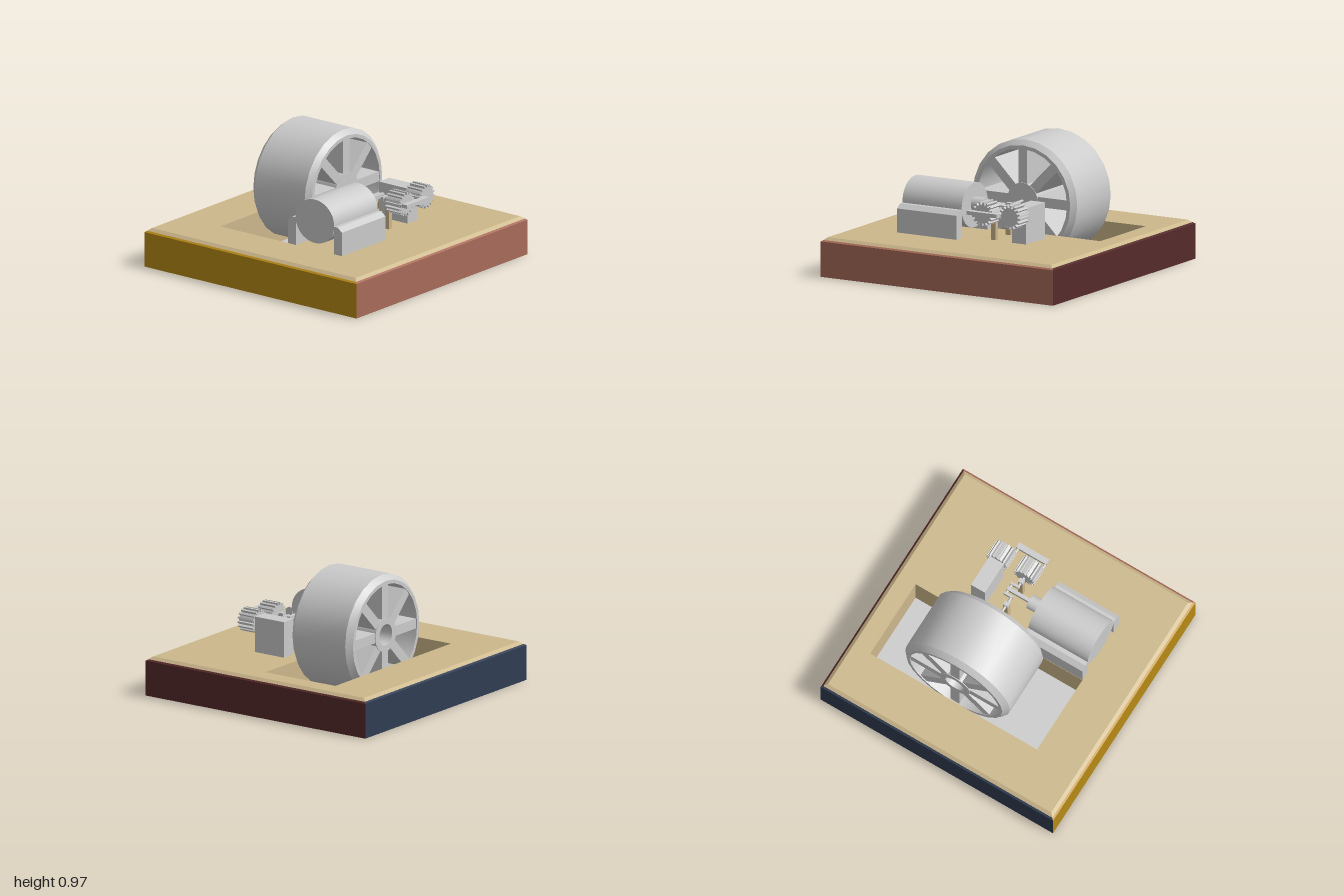
import * as THREE from 'three';
import { toCreasedNormals } from 'three/addons/utils/BufferGeometryUtils.js';

const mat = (color) => new THREE.MeshStandardMaterial({ color, side: THREE.DoubleSide });
const grey = mat(0xcccccc);
const tan = mat(0xccb88c);
const AXLE_Y = 0.515, AXLE_Z = -0.125;

export function createModel() {
  const model = new THREE.Group();

  const add = (name, geo, x = 0, y = 0, z = 0, material = grey, parent = model) => {
    const mesh = new THREE.Mesh(geo, material);
    mesh.name = name;
    mesh.position.set(x, y, z);
    parent.add(mesh);
    return mesh;
  };
  // box given by its minimum and maximum on each axis
  const box = (name, x0, x1, y0, y1, z0, z1, material = grey, parent = model) =>
    add(name, new THREE.BoxGeometry(x1 - x0, y1 - y0, z1 - z0),
      (x0 + x1) / 2, (y0 + y1) / 2, (z0 + z1) / 2, material, parent);
  // cylinder lying along x
  const rodX = (name, r, x0, x1, y, z, parent = model) =>
    add(name, new THREE.CylinderGeometry(r, r, x1 - x0, 16).rotateZ(-Math.PI / 2),
      (x0 + x1) / 2, y, z, grey, parent);

  // ---- plinth: four coloured sides with a bevelled upper edge
  const strip = (profile) => {
    const pos = [], index = [];
    profile.forEach(([h, y], i) => {
      pos.push(-h, y, h, h, y, h);
      if (i) {
        const a = 2 * (i - 1);
        index.push(a, a + 1, a + 3, a, a + 3, a + 2);
      }
    });
    const geo = new THREE.BufferGeometry();
    geo.setAttribute('position', new THREE.Float32BufferAttribute(pos, 3));
    geo.setIndex(index);
    return toCreasedNormals(geo, 0.3);
  };
  const sides = [['front', 0xb88a16], ['left', 0xa76b59], ['back', 0x552a2a], ['right', 0x2f3c52]];
  sides.forEach(([side, color], k) => {
    const angle = k * Math.PI / 2;
    add(side + 'PlinthSide', strip([[1, 0], [1, 0.265], [0.985, 0.275]]), 0, 0, 0, mat(color)).rotation.y = angle;
    add(side + 'PlinthBevel', strip([[0.985, 0.275], [0.96, 0.295]]), 0, 0, 0, tan).rotation.y = angle;
  });

  // deck with the flywheel pit cut through it, and the floor below
  const rect = (path, x0, x1, y0, y1) => path.moveTo(x0, y0).lineTo(x1, y0).lineTo(x1, y1).lineTo(x0, y1).closePath();
  const deck = rect(new THREE.Shape(), -0.96, 0.96, -0.96, 0.96);
  deck.holes.push(rect(new THREE.Path(), -0.595, 0.04, -0.615, 0.82));
  add('deck', new THREE.ExtrudeGeometry(deck, { depth: 0.29, bevelEnabled: false }).rotateX(-Math.PI / 2),
    0, 0.005, 0, tan);
  add('floor', new THREE.PlaneGeometry(2, 2).rotateX(-Math.PI / 2));

  // ---- flywheel: chamfered rim, hub and eight broad spokes
  const wheel = new THREE.Group();
  wheel.name = 'flywheel';
  wheel.position.set(0, AXLE_Y + 0.005, AXLE_Z);
  model.add(wheel);
  const lathe = (name, pts, segments) => add(name, toCreasedNormals(
    new THREE.LatheGeometry(pts.map((p) => new THREE.Vector2(...p)), segments).rotateZ(-Math.PI / 2), 0.5),
  0, 0, 0, grey, wheel);
  lathe('rim', [[0.385, -0.548], [0.412, -0.548], [0.45, -0.505], [0.45, -0.035],
    [0.412, 0.002], [0.385, 0.002], [0.385, -0.548]], 24);
  lathe('hub', [[0, -0.1], [0.08, -0.1], [0.08, -0.545], [0.13, -0.545], [0.13, 0], [0, 0]], 24);
  for (let i = 0; i < 8; i++) {
    const spoke = new THREE.BoxGeometry(0.535, 0.28, 0.075).translate(-0.272, 0.255, 0);
    add('spoke', spoke, 0, 0, 0, grey, wheel).rotation.x = i * Math.PI / 4;
  }

  // ---- engine cylinder between two chamfered supports
  add('engineCylinder', new THREE.CylinderGeometry(0.182, 0.182, 0.51, 40).rotateX(Math.PI / 2),
    0.297, 0.513, 0.36).scale.y = 0.92;
  for (const s of [-1, 1]) {
    const shape = new THREE.Shape([[0.18, 0.295], [0.255, 0.295], [0.255, 0.475], [0.215, 0.507], [0.18, 0.507]]
      .map(([x, y]) => new THREE.Vector2(s * x, y)));
    add('engineSupport', new THREE.ExtrudeGeometry(shape, { depth: 0.51, bevelEnabled: false }), 0.297, 0, 0.105);
  }
  add('cylinderNeck', new THREE.CylinderGeometry(0.055, 0.055, 0.1, 24).rotateX(Math.PI / 2), 0.295, 0.52, 0.06);
  box('connectingRod', 0.282, 0.31, 0.505, 0.535, -0.185, 0.02);

  // ---- crankshaft with one throw, carried on two posts
  rodX('wheelShaft', 0.01, 0, 0.255, AXLE_Y, AXLE_Z);
  rodX('gearShaft', 0.01, 0.335, 0.44, AXLE_Y, AXLE_Z);
  rodX('crankPin', 0.01, 0.245, 0.345, AXLE_Y, -0.175);
  for (const x of [0.245, 0.335]) box('crankWeb', x, x + 0.018, 0.502, 0.528, -0.187, -0.113);
  for (const x of [0.185, 0.395]) {
    box('bearingPost', x - 0.018, x + 0.018, 0.295, 0.5, -0.145, -0.105, tan);
    box('bearing', x - 0.018, x + 0.018, 0.5, 0.535, -0.145, -0.105);
  }

  // ---- two toothed gears joined by a coupling rod, and the block that carries the second
  const TEETH = 16, gearShape = new THREE.Shape();
  for (let i = 0; i < TEETH; i++) {
    [[0, 0.07], [0.48, 0.07], [0.54, 0.09], [0.94, 0.09]].forEach(([t, r], j) => {
      const a = (i + t) / TEETH * Math.PI * 2;
      gearShape[i + j ? 'lineTo' : 'moveTo'](r * Math.cos(a), r * Math.sin(a));
    });
  }
  gearShape.closePath();
  const gearGeo = new THREE.ExtrudeGeometry(gearShape, { depth: 0.137, bevelEnabled: false }).rotateY(Math.PI / 2);
  for (const z of [AXLE_Z, -0.36]) {
    add('gear', gearGeo, 0.43, AXLE_Y, z);
    rodX('couplingPin', 0.01, 0.56, 0.605, 0.528, z + 0.08);
  }
  box('couplingRod', 0.595, 0.64, 0.515, 0.543, -0.295, -0.035);
  box('generatorBlock', 0.165, 0.43, 0.295, 0.565, -0.42, -0.3);

  return model;
}
